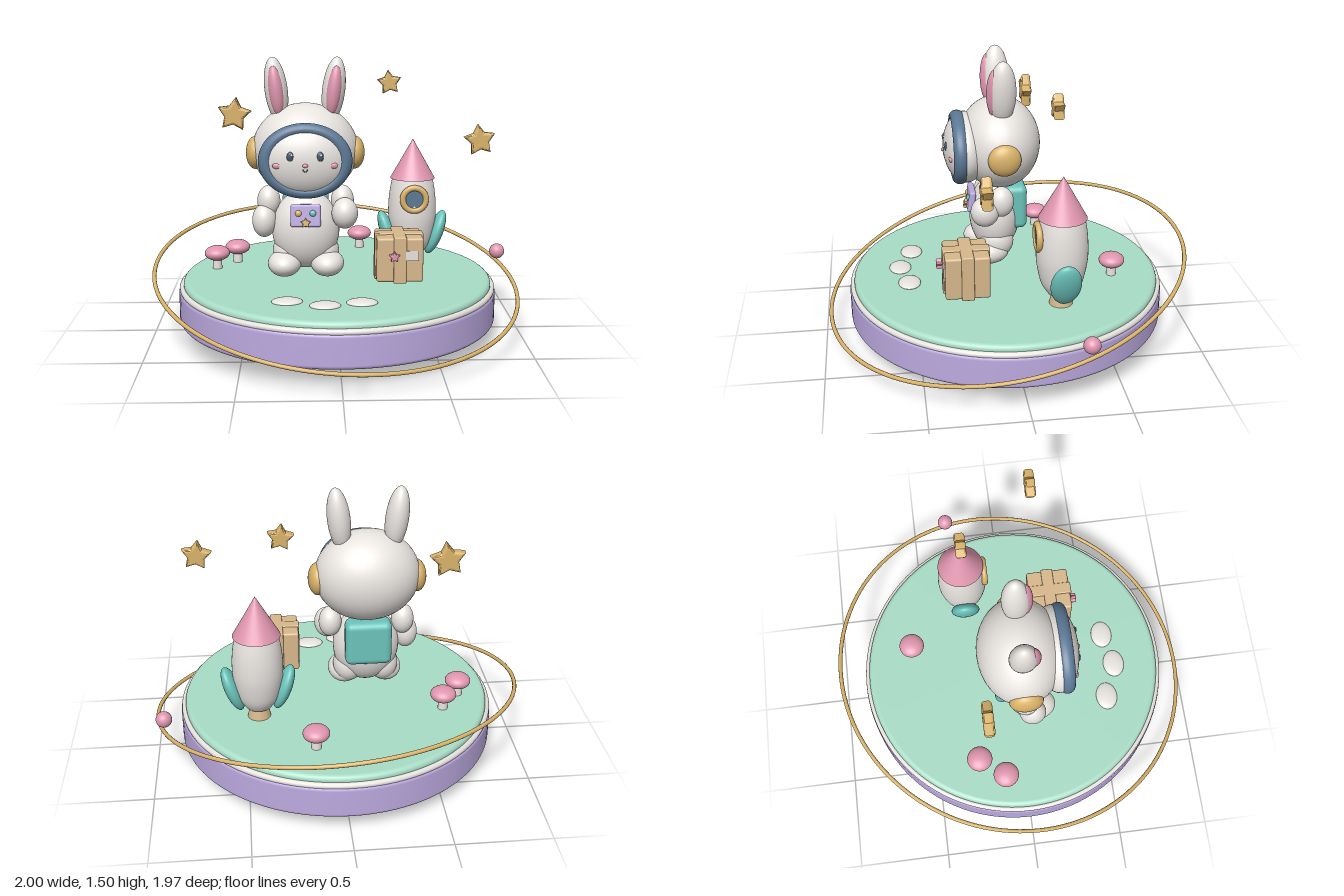
import * as THREE from 'three';
import { RoundedBoxGeometry } from 'three/addons/geometries/RoundedBoxGeometry.js';

const mat = (name, color) => {
  const m = new THREE.MeshStandardMaterial({ color });
  m.name = name;
  return m;
};

export function createModel() {
  const white = mat('softWhite', 0xe8e4e0), pink = mat('pink', 0xe096b0), gold = mat('gold', 0xdab36a);
  const tan = mat('cardboard', 0xd8b88c), slate = mat('slateBlue', 0x5c7896), teal = mat('teal', 0x6cc4bc);
  const mint = mat('mint', 0xa8dcc6), lavender = mat('lavender', 0xbcaae0), dark = mat('darkSlate', 0x44566c);

  const root = new THREE.Group();
  root.name = 'spaceRabbitDiorama';
  const group = (name, x = 0, y = 0, z = 0, parent = root) => {
    const g = new THREE.Group();
    g.name = name;
    g.position.set(x, y, z);
    parent.add(g);
    return g;
  };
  const add = (parent, name, geo, m, x = 0, y = 0, z = 0) => {
    const mesh = new THREE.Mesh(geo, m);
    mesh.name = name;
    mesh.position.set(x, y, z);
    parent.add(mesh);
    return mesh;
  };
  const ball = (parent, name, m, x, y, z, rx, ry = rx, rz = rx) =>
    add(parent, name, new THREE.SphereGeometry(1, 36, 24).scale(rx, ry, rz), m, x, y, z);
  const lathe = (pts, seg = 72) =>
    new THREE.LatheGeometry(pts.map(([x, y]) => new THREE.Vector2(x, y)), seg);
  // Disc with rounded top and bottom edges
  const roundedDisc = (r, y0, y1, b) => {
    const pts = [[0, y0], [r - b - 0.002, y0]];
    for (let i = 0; i <= 6; i++) {
      const a = -Math.PI / 2 + i * Math.PI / 12;
      pts.push([r - b + b * Math.cos(a), y0 + b + b * Math.sin(a)]);
    }
    for (let i = 0; i <= 6; i++) {
      const a = i * Math.PI / 12;
      pts.push([r - b + b * Math.cos(a), y1 - b + b * Math.sin(a)]);
    }
    pts.push([r - b - 0.002, y1], [0, y1]);
    return lathe(pts, 96);
  };
  // Puffy five-pointed star, r and depth include the bevel
  const starGeo = (r, depth) => {
    const bevel = r * 0.18, s = new THREE.Shape();
    for (let i = 0; i < 10; i++) {
      const a = Math.PI / 2 + i * Math.PI / 5, q = (i % 2 ? 0.5 : 1) * (r - bevel);
      s[i ? 'lineTo' : 'moveTo'](q * Math.cos(a), q * Math.sin(a));
    }
    s.closePath();
    return new THREE.ExtrudeGeometry(s, {
      depth: depth - 2 * bevel, bevelEnabled: true, bevelSize: bevel, bevelThickness: bevel, bevelSegments: 3,
    }).translate(0, 0, bevel - depth / 2);
  };

  // Floating platform
  const base = group('platform');
  add(base, 'platformBody', roundedDisc(0.86, 0.09, 0.272, 0.022), lavender);
  add(base, 'platformRim', new THREE.TorusGeometry(0.84, 0.017, 12, 96).rotateX(Math.PI / 2), white, 0, 0.275, 0);
  add(base, 'grassTop', roundedDisc(0.835, 0.26, 0.321, 0.025), mint);
  for (let i = 0; i < 9; i++) {
    const a = i * Math.PI * 2 / 9;
    ball(base, 'underBump', lavender, 0.58 * Math.cos(a), 0.095, 0.58 * Math.sin(a), 0.14, 0.095, 0.14);
  }

  // Tilted orbit ring with its small planet
  const ring = add(root, 'orbitRing', new THREE.TorusGeometry(0.99, 0.011, 10, 128).rotateX(Math.PI / 2), gold, 0, 0.307, 0);
  ring.quaternion.setFromUnitVectors(new THREE.Vector3(0, 1, 0), new THREE.Vector3(0.075, 1, 0.195).normalize());
  ball(root, 'orbitPlanet', pink, 0.935, 0.36, -0.295, 0.043);

  // Stepping stones and mushrooms
  for (const [x, z] of [[-0.265, 0.51], [-0.075, 0.58], [0.11, 0.537]])
    ball(root, 'steppingStone', white, x, 0.323, z, 0.079, 0.018, 0.06);
  for (const [x, z] of [[0.15, -0.567], [-0.56, -0.255], [-0.665, -0.12]]) {
    const g = group('mushroom', x, 0, z);
    add(g, 'mushroomStem', new THREE.CylinderGeometry(0.022, 0.027, 0.1, 20), white, 0, 0.36, 0);
    ball(g, 'mushroomCap', pink, 0, 0.408, 0, 0.07, 0.041, 0.07);
  }

  // Floating stars
  for (const [x, y, z, r, turn] of [[-0.56, 1.175, -0.19, 0.09, -0.12], [0.295, 1.345, -0.225, 0.064, 0.1], [0.735, 1.085, 0.185, 0.078, 0.12]])
    add(root, 'floatingStar', starGeo(r, 0.055), gold, x, y, z).rotation.z = turn;

  // Rabbit in a space suit
  const rabbit = group('rabbit', -0.17, 0, 0);
  ball(rabbit, 'body', white, 0, 0.585, 0.04, 0.182, 0.215, 0.14);
  ball(rabbit, 'head', white, 0, 1.012, 0.015, 0.283, 0.25, 0.225);
  add(rabbit, 'visorRim', new THREE.TorusGeometry(0.203, 0.04, 20, 72).scale(1, 0.81, 1), slate, 0, 0.988, 0.236);
  ball(rabbit, 'face', white, 0, 0.988, 0.2, 0.235, 0.19, 0.12);
  ball(rabbit, 'nose', pink, 0, 0.977, 0.32, 0.014, 0.01, 0.01);
  const smile = new THREE.TorusGeometry(0.012, 0.003, 6, 12, Math.PI).rotateZ(Math.PI);
  add(rabbit, 'mouth', smile, dark, 0, 0.958, 0.317);
  for (const s of [1, -1]) {
    ball(rabbit, 'eye', dark, s * 0.075, 1.02, 0.306, 0.019, 0.027, 0.012);
    ball(rabbit, 'eyeGlint', white, s * 0.075 + 0.005, 1.03, 0.316, 0.006, 0.006, 0.004);
    ball(rabbit, 'cheek', pink, s * 0.142, 0.972, 0.288, 0.026, 0.016, 0.012);
    ball(rabbit, 'earCup', gold, s * 0.265, 0.997, 0.015, 0.052, 0.088, 0.088);
    const ear = group('ear', s * 0.152, 1.33, 0.012, rabbit);
    ear.rotation.z = -s * 0.12;
    ball(ear, 'outerEar', white, 0, 0, 0, 0.061, 0.175, 0.073);
    ball(ear, 'innerEar', pink, 0, 0, 0.044, 0.039, 0.132, 0.042);
    ball(rabbit, 'leg', white, s * 0.095, 0.46, 0.04, 0.085, 0.1, 0.095);
    ball(rabbit, 'foot', white, s * 0.115, 0.406, 0.09, 0.09, 0.07, 0.115);
    ball(rabbit, 'upperArm', white, s * 0.198, 0.735, 0.025, 0.062, 0.085, 0.068);
  }
  ball(rabbit, 'leftForearm', white, 0.208, 0.685, 0.115, 0.07, 0.083, 0.078);
  ball(rabbit, 'rightForearm', white, -0.222, 0.635, 0.06, 0.065, 0.09, 0.072);

  // Chest control panel and backpack
  const panel = group('chestPanel', 0, 0.685, 0.172, rabbit);
  panel.rotation.x = -0.15;
  add(panel, 'panelPlate', new RoundedBoxGeometry(0.16, 0.12, 0.035, 3, 0.012), lavender);
  [gold, teal].forEach((m, i) => ball(panel, 'panelButton', m, i * 0.076 - 0.038, 0.013, 0.018, 0.017, 0.017, 0.012));
  add(panel, 'panelStar', starGeo(0.026, 0.02), gold, 0, -0.038, 0.024);
  add(rabbit, 'backpack', new RoundedBoxGeometry(0.25, 0.25, 0.12, 4, 0.035), teal, 0, 0.655, -0.07);

  // Parcel with two crossing straps
  const parcel = group('parcel', 0.314, 0.49, 0.248);
  add(parcel, 'parcelBox', new RoundedBoxGeometry(0.24, 0.232, 0.232, 3, 0.012), tan);
  add(parcel, 'strapFrontToBack', new RoundedBoxGeometry(0.066, 0.246, 0.248, 2, 0.007), tan);
  add(parcel, 'strapSideToSide', new RoundedBoxGeometry(0.254, 0.246, 0.066, 2, 0.007), tan);
  add(parcel, 'label', new THREE.BoxGeometry(0.07, 0.052, 0.009), white, 0.06, 0.025, 0.119);
  add(parcel, 'parcelStar', starGeo(0.027, 0.03), pink, -0.031, 0.025, 0.138);

  // Toy rocket
  const rocket = group('rocket', 0.432, 0, -0.235);
  const hull = new THREE.SplineCurve([[0.07, 0.385], [0.108, 0.45], [0.131, 0.56], [0.134, 0.65], [0.126, 0.74], [0.11, 0.82]]
    .map(([x, y]) => new THREE.Vector2(x, y)));
  add(rocket, 'hull', new THREE.LatheGeometry(hull.getPoints(24), 48), white);
  add(rocket, 'hullBottom', new THREE.CylinderGeometry(0.07, 0.07, 0.01, 36), white, 0, 0.39, 0);
  add(rocket, 'noseCone', new THREE.ConeGeometry(0.125, 0.222, 48), pink, 0, 0.919, 0);
  add(rocket, 'nozzle', new THREE.CylinderGeometry(0.045, 0.062, 0.09, 32), tan, 0, 0.363, 0);
  add(rocket, 'windowRing', new THREE.TorusGeometry(0.064, 0.017, 14, 40), gold, 0, 0.708, 0.126);
  add(rocket, 'windowGlass', new THREE.CylinderGeometry(0.062, 0.062, 0.05, 36).rotateX(Math.PI / 2), slate, 0, 0.708, 0.108);
  for (const s of [1, -1])
    ball(rocket, 'fin', teal, s * 0.135, 0.492, 0, 0.042, 0.132, 0.08).rotation.z = -s * 0.35;

  return root;
}
